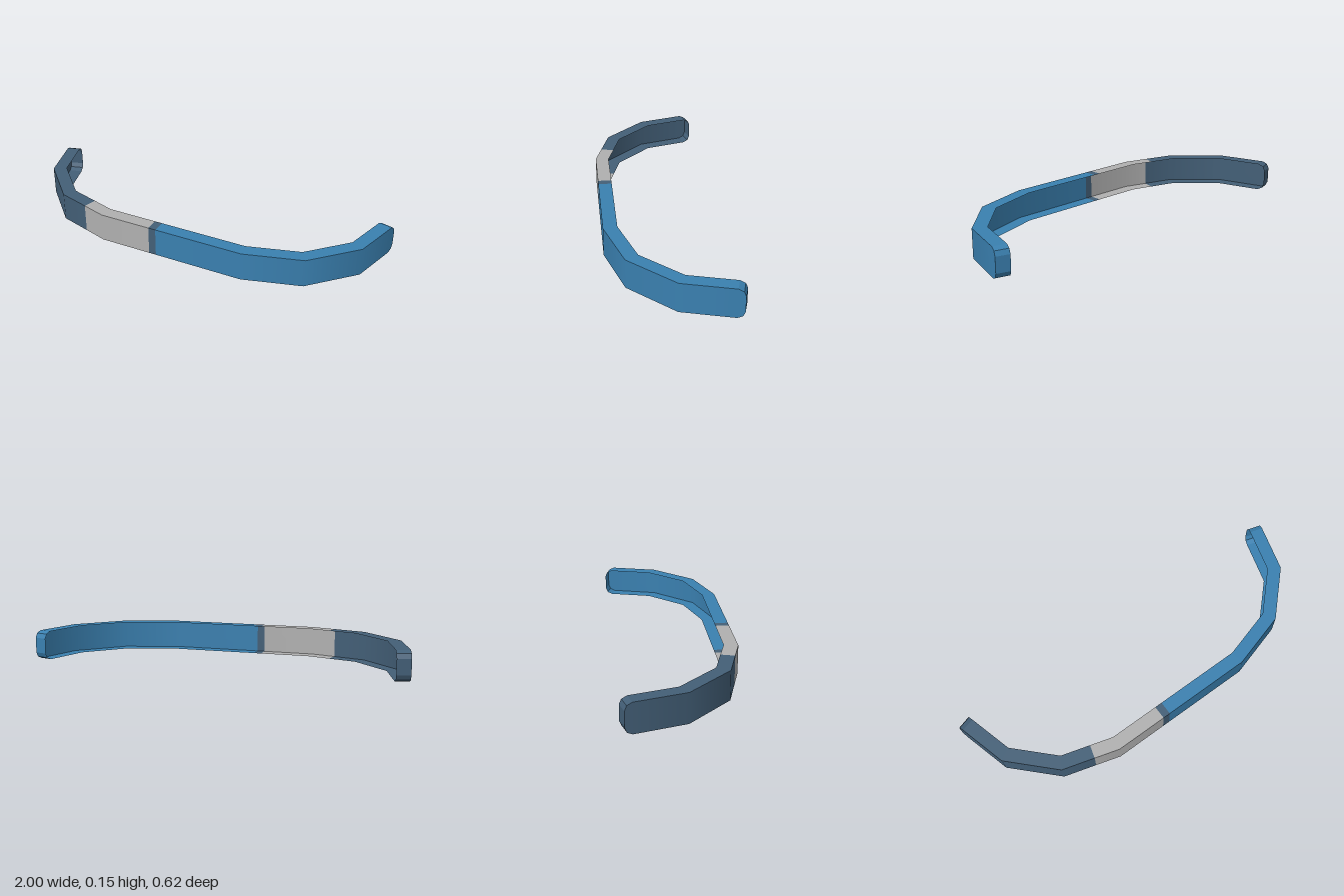
import * as THREE from 'three';

const HEIGHT = 0.153;
const DEPTH = 0.072;

// Half of the outer outline, from the tip to the front: [x, z, inset of the top and bottom edge]
const half = [
  [1.0, -0.288, 0.036], [0.997, -0.278, 0.012], [0.99, -0.253, 0],
  [0.918, 0, 0], [0.7, 0.22, 0], [0.4, 0.307, 0],
];

// Whole outline from -x to +x, with extra stations where the colour changes
const outline = [
  ...half.slice(0, 5).map(([x, z, i]) => [-x, z, i]),
  [-0.53, 0.269, 0], [-0.4, 0.307, 0], [-0.12, 0.307, 0], [-0.08, 0.307, 0],
  ...half.slice().reverse(),
];

// Each station gets its outward normal and a mitred inner point
function makeStations() {
  const edgeNormal = (i) => {
    const [a, b] = [outline[i], outline[i + 1]];
    return new THREE.Vector2(-(b[1] - a[1]), b[0] - a[0]).normalize();
  };
  const last = outline.length - 1;
  return outline.map(([x, z, inset], i) => {
    const before = edgeNormal(Math.max(i - 1, 0));
    const after = edgeNormal(Math.min(i, last - 1));
    const n = before.clone().add(after).normalize();
    const miter = DEPTH / n.dot(after);
    const at = (px, y, pz) => new THREE.Vector3(px, y, pz);
    const [ix, iz] = [x - n.x * miter, z - n.y * miter];
    return {
      normal: at(n.x, 0, n.y),
      outLow: at(x, inset, z), outHigh: at(x, HEIGHT - inset, z),
      inLow: at(ix, inset, iz), inHigh: at(ix, HEIGHT - inset, iz),
    };
  });
}

// Open channel (front wall, top and bottom flanges) between two stations
function channel(stations, from, to, material, name) {
  const position = [];
  const normal = [];
  const quad = (corners, normals) => {
    const flat = corners[1].clone().sub(corners[0])
      .cross(corners[2].clone().sub(corners[0])).normalize();
    for (const k of [0, 1, 2, 0, 2, 3]) {
      position.push(...corners[k].toArray());
      normal.push(...(normals ? normals[k] : flat).toArray());
    }
  };
  for (let i = from; i < to; i++) {
    const a = stations[i];
    const b = stations[i + 1];
    quad([a.outLow, b.outLow, b.outHigh, a.outHigh], [a.normal, b.normal, b.normal, a.normal]);
    quad([a.outHigh, b.outHigh, b.inHigh, a.inHigh]);
    quad([a.inLow, b.inLow, b.outLow, a.outLow]);
  }
  // Caps close the two tips
  const first = stations[0];
  const end = stations[stations.length - 1];
  if (from === 0) quad([first.inLow, first.outLow, first.outHigh, first.inHigh]);
  if (to === stations.length - 1) quad([end.outLow, end.inLow, end.inHigh, end.outHigh]);

  const geometry = new THREE.BufferGeometry();
  geometry.setAttribute('position', new THREE.Float32BufferAttribute(position, 3));
  geometry.setAttribute('normal', new THREE.Float32BufferAttribute(normal, 3));
  const mesh = new THREE.Mesh(geometry, material);
  mesh.name = name;
  return mesh;
}

export function createModel() {
  const paint = (name, color) => {
    const m = new THREE.MeshStandardMaterial({ color, side: THREE.DoubleSide });
    m.name = name;
    return m;
  };
  const blue = paint('blue', 0x3a80b0);
  const slate = paint('slate blue', 0x435f77);
  const grey = paint('light grey', 0xb0b0b0);

  const stations = makeStations();
  const group = new THREE.Group();
  group.name = 'bentBand';
  group.add(
    channel(stations, 0, 5, slate, 'rightArm'),
    channel(stations, 5, 7, grey, 'greyPanel'),
    channel(stations, 7, 8, slate, 'dividerStripe'),
    channel(stations, 8, stations.length - 1, blue, 'frontAndLeftArm'),
  );
  return group;
}
